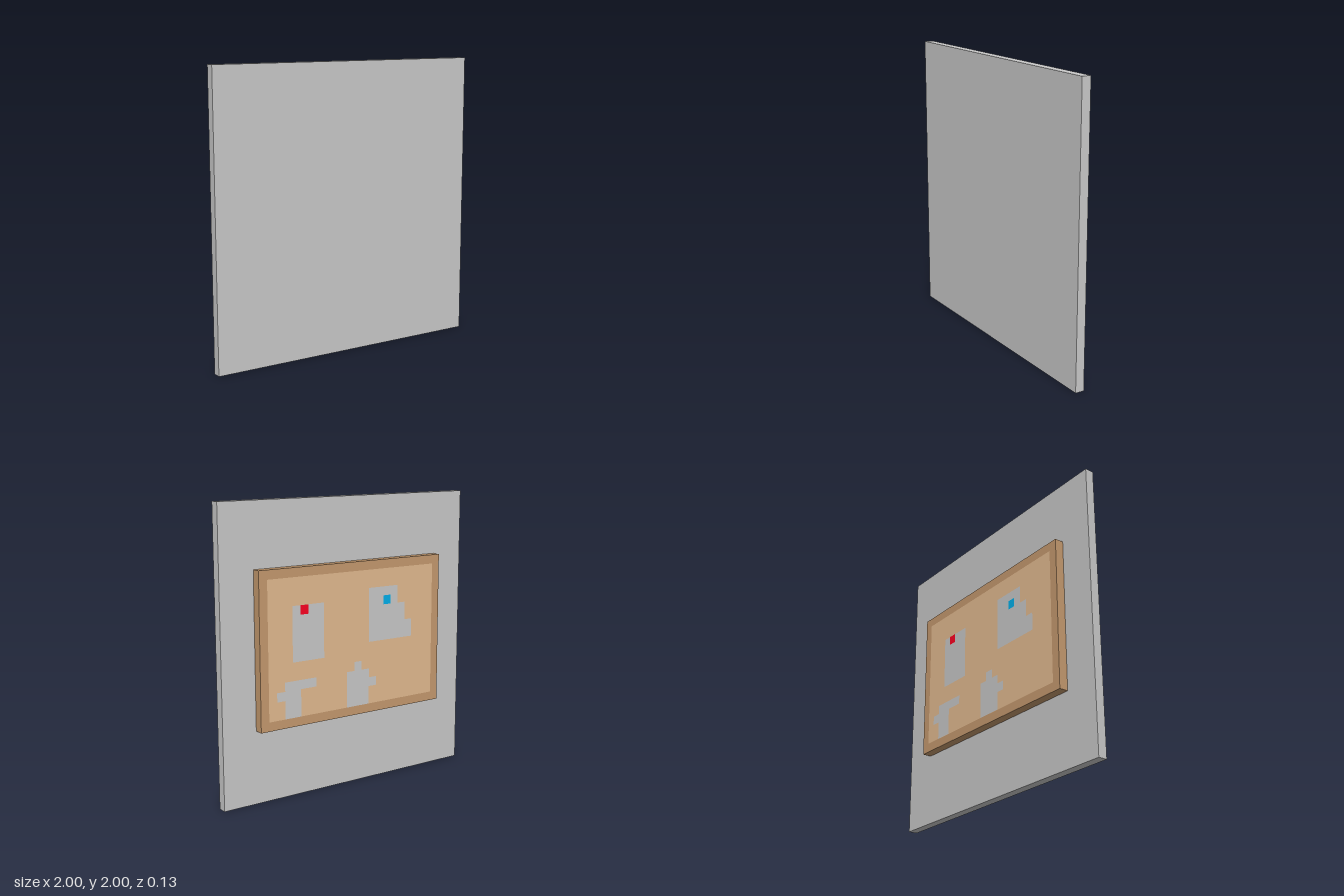
import * as THREE from 'three';

const U = 1 / 16;        // the whole model sits on a 1/16 grid
const LEFT = 0.75;       // grid origin: board corner, upper left as seen from behind
const TOP = 1.5625;
const COLS = 24, ROWS = 17;

const material = (color) => new THREE.MeshStandardMaterial({ color, roughness: 1, metalness: 0, flatShading: true });
const grey = material(0xcccccc);
const paper = material(0xededed);
const wood = material(0xc89c70);
const cork = material(0xe6bd92);
const red = material(0xff0022);
const blue = material(0x00b1ed);

function addBox(parent, name, mat, size, position) {
  const mesh = new THREE.Mesh(new THREE.BoxGeometry(...size), mat);
  mesh.position.set(...position);
  mesh.name = name;
  parent.add(mesh);
}

// Flat patches on the back face; each rectangle is [column, row, width, height].
function addPatches(parent, name, mat, rects, lift = 0.0008) {
  const group = new THREE.Group();
  group.name = name;
  for (const [c, r, w, h] of rects) {
    const mesh = new THREE.Mesh(new THREE.PlaneGeometry(w * U, h * U), mat);
    mesh.rotation.y = Math.PI;
    mesh.position.set(LEFT - (c + w / 2) * U, TOP - (r + h / 2) * U, -U - lift);
    mesh.name = name + 'Patch';
    group.add(mesh);
  }
  parent.add(group);
}

function rectangle(path, halfW, halfH) {
  path.moveTo(-halfW, -halfH);
  path.lineTo(halfW, -halfH);
  path.lineTo(halfW, halfH);
  path.lineTo(-halfW, halfH);
  path.closePath();
  return path;
}

export function createModel() {
  const model = new THREE.Group();
  model.name = 'noticeBoard';
  const midY = TOP - ROWS * U / 2;

  // Wall slab
  addBox(model, 'wallPanel', grey, [2, 2, U], [0, 1, U / 2]);

  // Wooden frame with the cork panel flush inside it
  const outline = rectangle(new THREE.Shape(), COLS * U / 2, ROWS * U / 2);
  outline.holes.push(rectangle(new THREE.Path(), (COLS / 2 - 1) * U, (ROWS / 2 - 1) * U));
  const frame = new THREE.Mesh(new THREE.ExtrudeGeometry(outline, { depth: U, bevelEnabled: false }), wood);
  frame.position.set(0, midY, -U);
  frame.name = 'frame';
  model.add(frame);
  addBox(model, 'corkPanel', cork, [(COLS - 2) * U, (ROWS - 2) * U, U], [0, midY, -U / 2]);

  // Pinned notes
  addPatches(model, 'plainNote', paper, [[4, 4, 4, 6]]);
  addPatches(model, 'topNote', paper, [[15, 3, 2, 1], [14, 4, 4, 5]]);
  addPatches(model, 'noteBehind', grey, [[14, 3, 1, 1], [17, 3, 1, 1], [18, 5, 1, 4], [19, 7, 1, 2]]);

  // Paper scraps along the lower edge
  addPatches(model, 'leftScrap', paper, [[3, 12, 4, 1], [2, 13, 3, 1], [3, 14, 2, 2]]);
  addPatches(model, 'rightScrap', paper, [[12, 11, 1, 1], [11, 12, 3, 4], [14, 13, 1, 1]]);

  // Pins
  addPatches(model, 'redPin', red, [[5, 4, 1, 1]], 0.0016);
  addPatches(model, 'bluePin', blue, [[16, 4, 1, 1]], 0.0016);

  return model;
}
